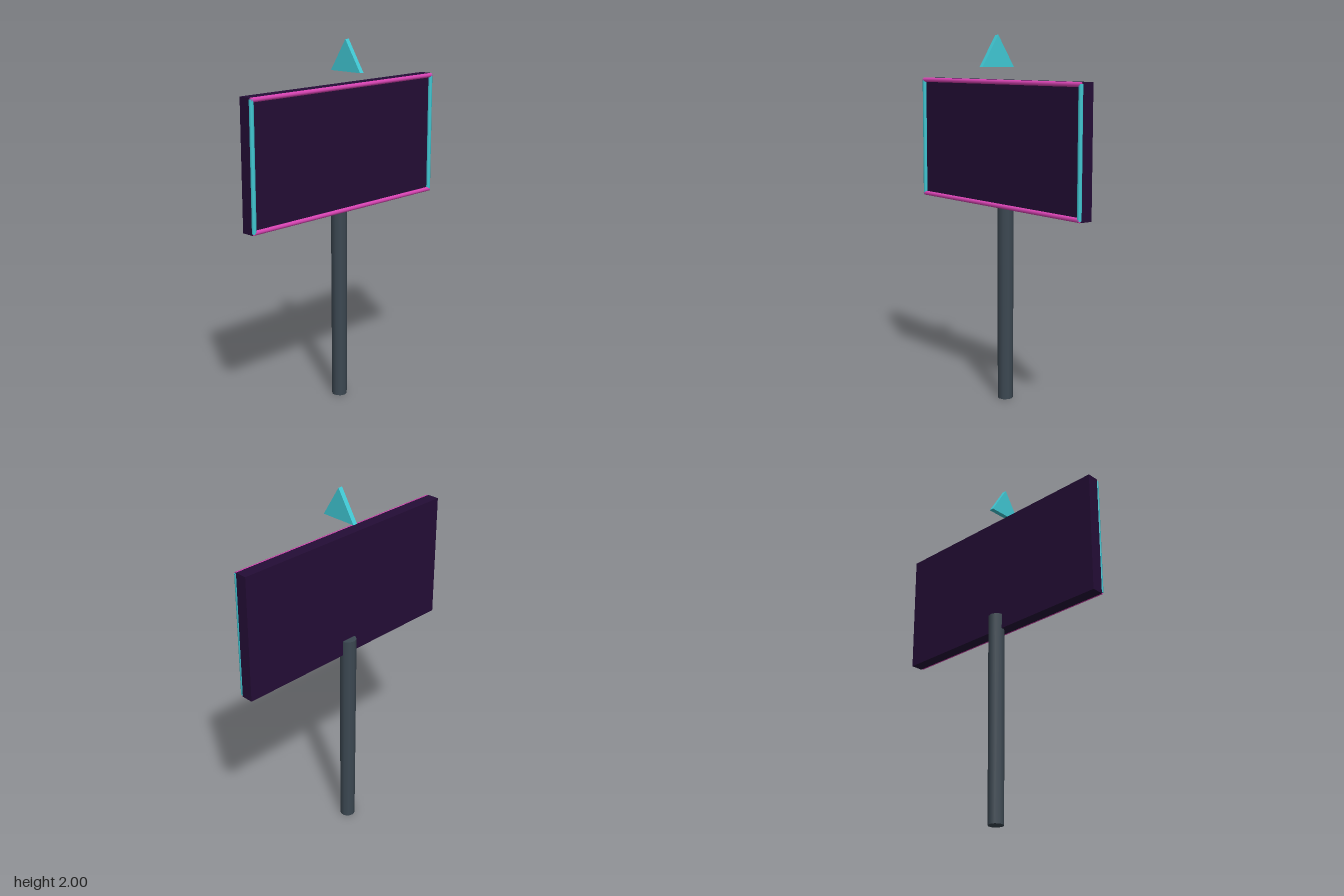
import * as THREE from 'three';

export function createModel() {
  const model = new THREE.Group();
  model.name = 'billboard';
  const material = (name, color) => {
    const m = new THREE.MeshStandardMaterial({ color });
    m.name = name;
    return m;
  };
  const purple = material('dark purple', 0x240d36);
  const pink = material('neon pink', 0xd944b4);
  const cyan = material('neon cyan', 0x40c8d4);
  const steel = material('slate steel', 0x3c4852);

  const add = (name, geometry, mat, x, y, z) => {
    const mesh = new THREE.Mesh(geometry, mat);
    mesh.name = name;
    mesh.position.set(x, y, z);
    model.add(mesh);
    return mesh;
  };

  // Post, overlapping the back of the board
  add('post', new THREE.CylinderGeometry(0.045, 0.042, 1.165, 10), steel, 0, 0.5825, -0.06);

  // Board
  add('board', new THREE.BoxGeometry(1.37, 0.685, 0.068), purple, 0, 1.4225, -0.029);

  // Neon tubes around the front edge
  const r = 0.0125;
  for (const s of [-1, 1]) {
    const bar = add(s > 0 ? 'topTube' : 'bottomTube',
      new THREE.CylinderGeometry(r, r, 1.36, 8), pink, 0, 1.4225 + s * 0.331, 0.009);
    bar.rotation.z = Math.PI / 2;
    add(s > 0 ? 'leftTube' : 'rightTube',
      new THREE.CylinderGeometry(r, r, 0.67, 8), cyan, s * 0.675, 1.4225, 0.009);
  }

  // Triangular marker standing edge-on above the board
  const triangle = new THREE.Shape([
    new THREE.Vector2(-0.105, 0),
    new THREE.Vector2(0.105, 0),
    new THREE.Vector2(0, 0.168),
  ]);
  const marker = new THREE.ExtrudeGeometry(triangle, { depth: 0.026, bevelEnabled: false });
  marker.translate(0, 0, -0.013);
  marker.rotateY(Math.PI / 2);
  add('marker', marker, cyan, 0, 1.832, 0);

  return model;
}
